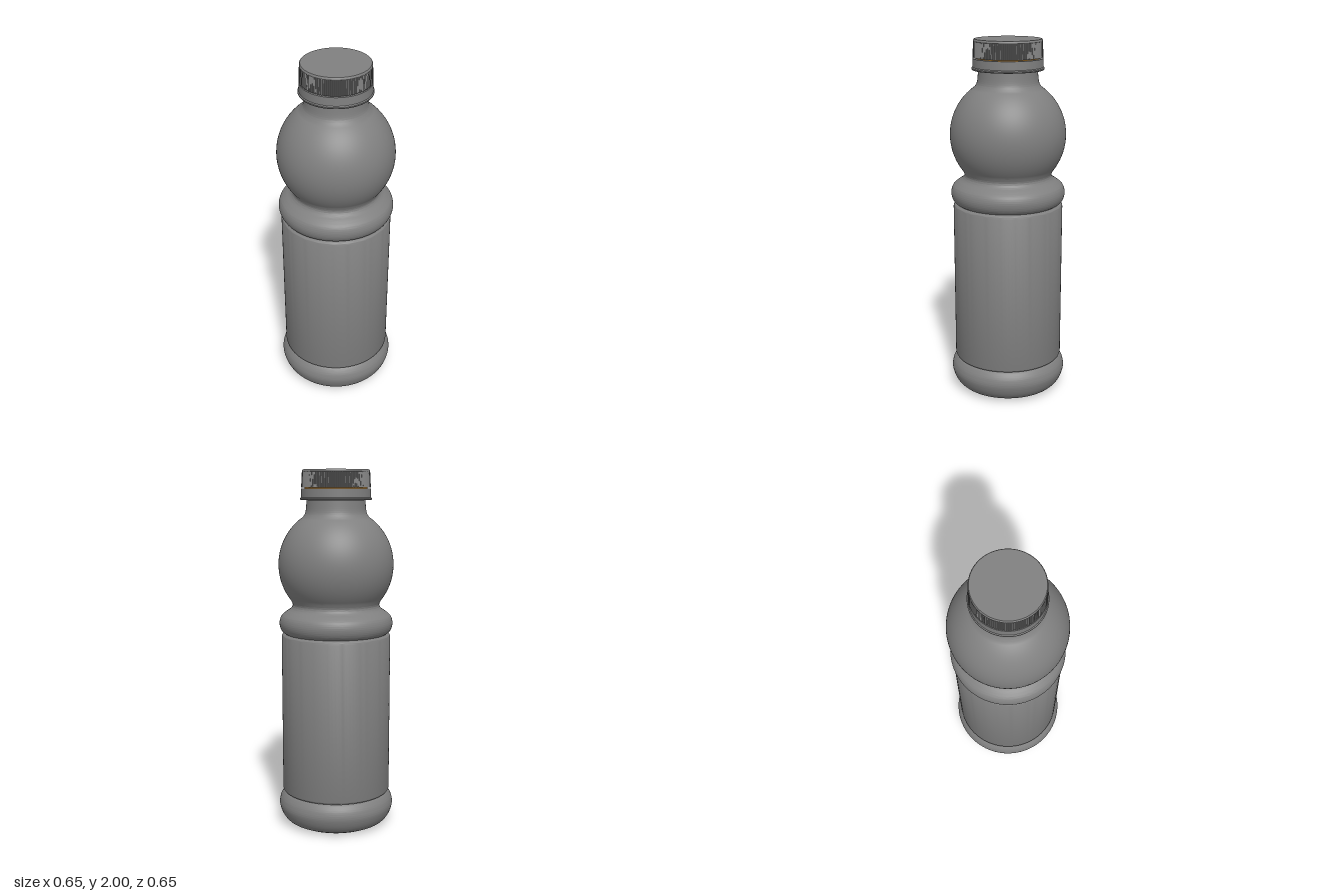
import * as THREE from 'three';
import { toCreasedNormals } from 'three/addons/utils/BufferGeometryUtils.js';

const grey = new THREE.MeshStandardMaterial({ color: 0x808080 });
const ribbed = new THREE.MeshStandardMaterial({ color: 0x808080, flatShading: true });
const orange = new THREE.MeshStandardMaterial({ color: 0xc88a30 });

const v = (x, y) => new THREE.Vector2(x, y);

// Revolve a profile running from the bottom up, keeping hard corners sharp
function revolve(name, path, material = grey) {
  const geometry = toCreasedNormals(new THREE.LatheGeometry(path.getPoints(14), 96), 0.6);
  const mesh = new THREE.Mesh(geometry, material);
  mesh.name = name;
  return mesh;
}

// Straight-sided profile through a few points
function polyline(points) {
  const path = new THREE.Path();
  path.setFromPoints(points.map(([x, y]) => v(x, y)));
  return path;
}

// Foot bulge with a flat underside
function makeFoot() {
  const p = new THREE.Path();
  p.moveTo(0, 0);
  p.lineTo(0.236, 0);
  p.lineTo(0.241, 0.008);
  p.splineThru([v(0.278, 0.02), v(0.308, 0.055), v(0.325, 0.105),
    v(0.32, 0.145), v(0.303, 0.175), v(0.29, 0.187)]);
  return revolve('foot', p);
}

// Straight barrel with softly rounded rims
function makeBarrel() {
  const p = new THREE.Path();
  p.moveTo(0.288, 0.187);
  p.quadraticCurveTo(0.304, 0.19, 0.305, 0.205);
  p.lineTo(0.305, 1.08);
  p.quadraticCurveTo(0.304, 1.096, 0.285, 1.1);
  return revolve('barrel', p);
}

// Grip ring, waist, spherical shoulder and neck
function makeShoulder() {
  const p = new THREE.Path();
  p.moveTo(0.285, 1.1);
  p.splineThru([v(0.302, 1.113), v(0.314, 1.138), v(0.316, 1.168),
    v(0.305, 1.198), v(0.28, 1.22), v(0.256, 1.236), v(0.244, 1.251),
    v(0.2425, 1.265), v(0.25, 1.284)]);
  p.absarc(0, 1.482, 0.319, -0.67, 0.96, false);
  p.splineThru([v(0.171, 1.762), v(0.165, 1.79), v(0.161, 1.845)]);
  return revolve('shoulder', p);
}

// Cap side with fine vertical ribs: every other column is pulled inwards
function makeCapRibs() {
  const count = 240;
  const geometry = new THREE.CylinderGeometry(0.1865, 0.191, 0.084, count, 1, true);
  const pos = geometry.attributes.position;
  for (let i = 0; i < pos.count; i++) {
    if ((i % (count + 1)) % 2 === 1) {
      pos.setX(i, pos.getX(i) * 0.981);
      pos.setZ(i, pos.getZ(i) * 0.981);
    }
  }
  const mesh = new THREE.Mesh(geometry, ribbed);
  mesh.name = 'capRibs';
  mesh.position.y = 1.945;
  return mesh;
}

export function createModel() {
  const bottle = new THREE.Group();
  bottle.name = 'bottle';
  bottle.add(makeFoot(), makeBarrel(), makeShoulder());

  const cap = new THREE.Group();
  cap.name = 'cap';
  cap.add(
    // Tamper band with a small lip at its lower edge
    revolve('tamperBand', polyline([[0.158, 1.836], [0.194, 1.836], [0.197, 1.84],
      [0.197, 1.846], [0.192, 1.851], [0.191, 1.897], [0.17, 1.897]])),
    // Seal set back in the narrow gap between band and cap
    revolve('seal', polyline([[0.172, 1.896], [0.172, 1.904]]), orange),
    revolve('capUnderside', polyline([[0.17, 1.903], [0.188, 1.903]])),
    makeCapRibs(),
    // Rounded rim and flat top
    revolve('capTop', polyline([[0.182, 1.985], [0.1865, 1.988], [0.1855, 1.996],
      [0.182, 2], [0, 2]])),
  );
  bottle.add(cap);
  return bottle;
}
